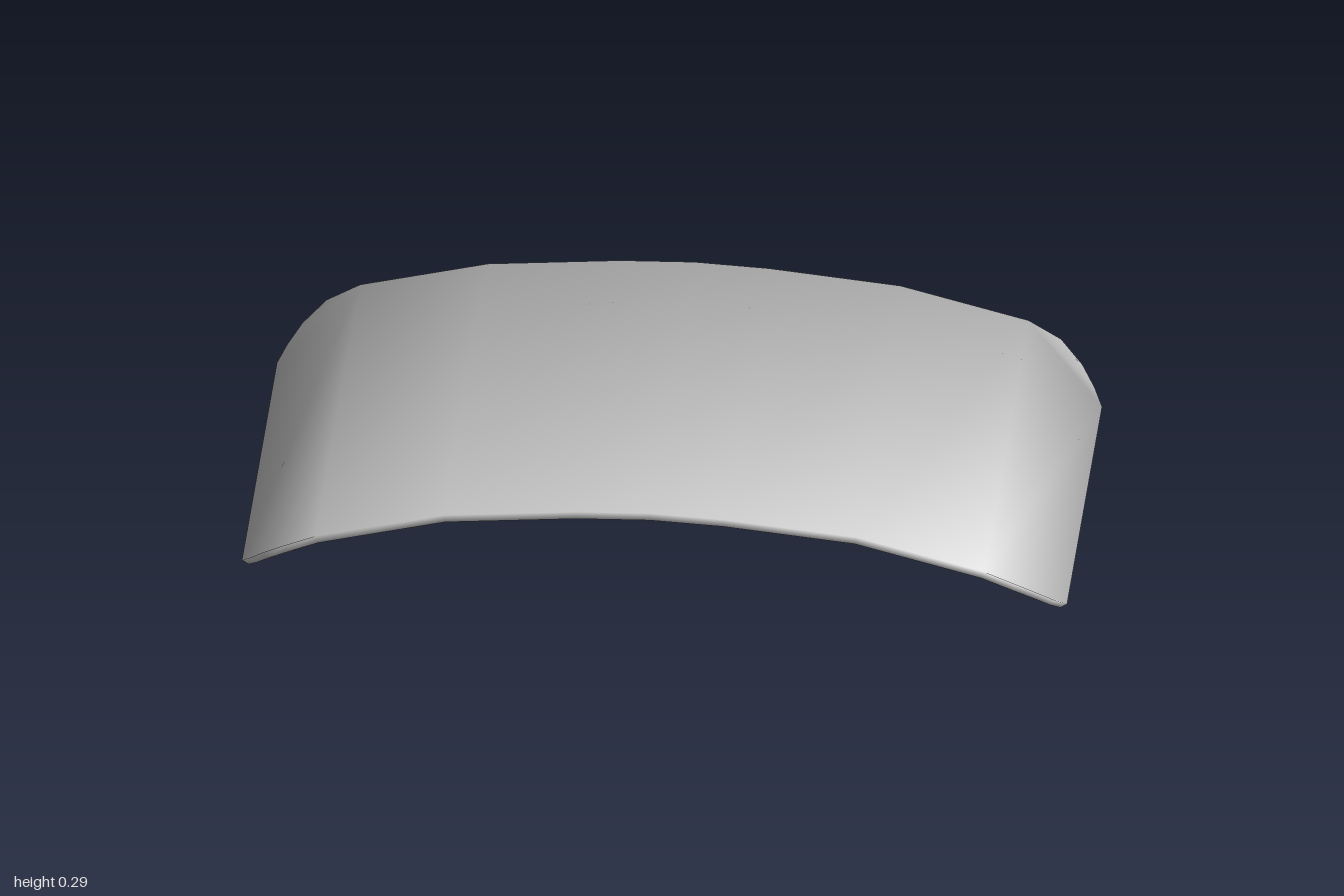
import * as THREE from 'three';

const THICKNESS = 0.02;

// Half of the arch from crown to end: [x, height, half depth]; the last points round the corner
const HALF = [
  [0, 0.29, 0.555], [0.18, 0.283, 0.555], [0.5, 0.253, 0.555], [0.81, 0.173, 0.555],
  [0.89, 0.132, 0.543], [0.945, 0.085, 0.508], [0.978, 0.045, 0.472], [1, 0.014, 0.435],
];

// Smooth normals shared over the rim, weighted by corner angle
function angleWeightedNormals(points, index) {
  const normals = points.map(() => new THREE.Vector3());
  for (let t = 0; t < index.length; t += 3) {
    const ids = index.slice(t, t + 3);
    const [a, b, c] = ids.map((i) => points[i]);
    const face = new THREE.Triangle(a, b, c).getNormal(new THREE.Vector3());
    ids.forEach((id, k) => {
      const p = points[id];
      const u = points[ids[(k + 1) % 3]].clone().sub(p);
      const v = points[ids[(k + 2) % 3]].clone().sub(p);
      normals[id].addScaledVector(face, u.angleTo(v));
    });
  }
  return normals.map((n) => n.normalize());
}

function curvedPanelGeometry() {
  const stations = [...HALF.slice(1).reverse().map(([x, y, w]) => [-x, y, w]), ...HALF];
  const last = stations.length - 1;
  const corner = 4; // stations used by each rounded corner

  // Four points per station: top front, top back, bottom front, bottom back
  const points = [];
  stations.forEach(([x, y, w], i) => {
    const p = stations[Math.max(i - 1, 0)];
    const q = stations[Math.min(i + 1, last)];
    const n = new THREE.Vector2(p[1] - q[1], q[0] - p[0]).normalize().multiplyScalar(THICKNESS);
    for (const [dx, dy] of [[0, 0], [n.x, n.y]]) {
      for (const side of [1, -1]) points.push(new THREE.Vector3(x - dx, y - dy, side * w));
    }
  });

  const index = [];
  const tri = (a, b, c) => index.push(a, b, c);
  const quad = (a, b, c, d) => { tri(a, b, c); tri(a, c, d); };
  const tf = (i) => 4 * i, tb = (i) => 4 * i + 1, bf = (i) => 4 * i + 2, bb = (i) => 4 * i + 3;

  // Upper and lower skins
  const skinTri = (a, b, c) => { tri(a, b, c); tri(a + 2, c + 2, b + 2); };
  const strip = (i, j) => {
    skinTri(tf(i), tf(j), tb(j));
    skinTri(tf(i), tb(j), tb(i));
  };
  for (let i = corner; i < last - corner; i++) strip(i, i + 1);
  strip(0, corner);
  strip(last - corner, last);

  // Fans filling the rounded corners
  for (let k = 0; k < corner - 1; k++) {
    for (const [hub, i] of [[corner, k], [last - corner, last - corner + 1 + k]]) {
      skinTri(tf(hub), tf(i), tf(i + 1));
      skinTri(tb(hub), tb(i + 1), tb(i));
    }
  }

  // Thin rim along the front, back and both ends
  for (let i = 0; i < last; i++) {
    quad(bf(i), bf(i + 1), tf(i + 1), tf(i));
    quad(bb(i + 1), bb(i), tb(i), tb(i + 1));
  }
  quad(bf(last), bb(last), tb(last), tf(last));
  quad(bb(0), bf(0), tf(0), tb(0));

  const normals = angleWeightedNormals(points, index);
  const flat = (list) => new THREE.Float32BufferAttribute(list.flatMap((v) => v.toArray()), 3);
  const geometry = new THREE.BufferGeometry();
  geometry.setAttribute('position', flat(points));
  geometry.setAttribute('normal', flat(normals));
  geometry.setIndex(index);
  return geometry;
}

export function createModel() {
  const group = new THREE.Group();
  group.name = 'curvedCover';
  const panel = new THREE.Mesh(
    curvedPanelGeometry(),
    new THREE.MeshStandardMaterial({ color: 0xcccccc }),
  );
  panel.name = 'curvedPanel';
  group.add(panel);
  return group;
}
